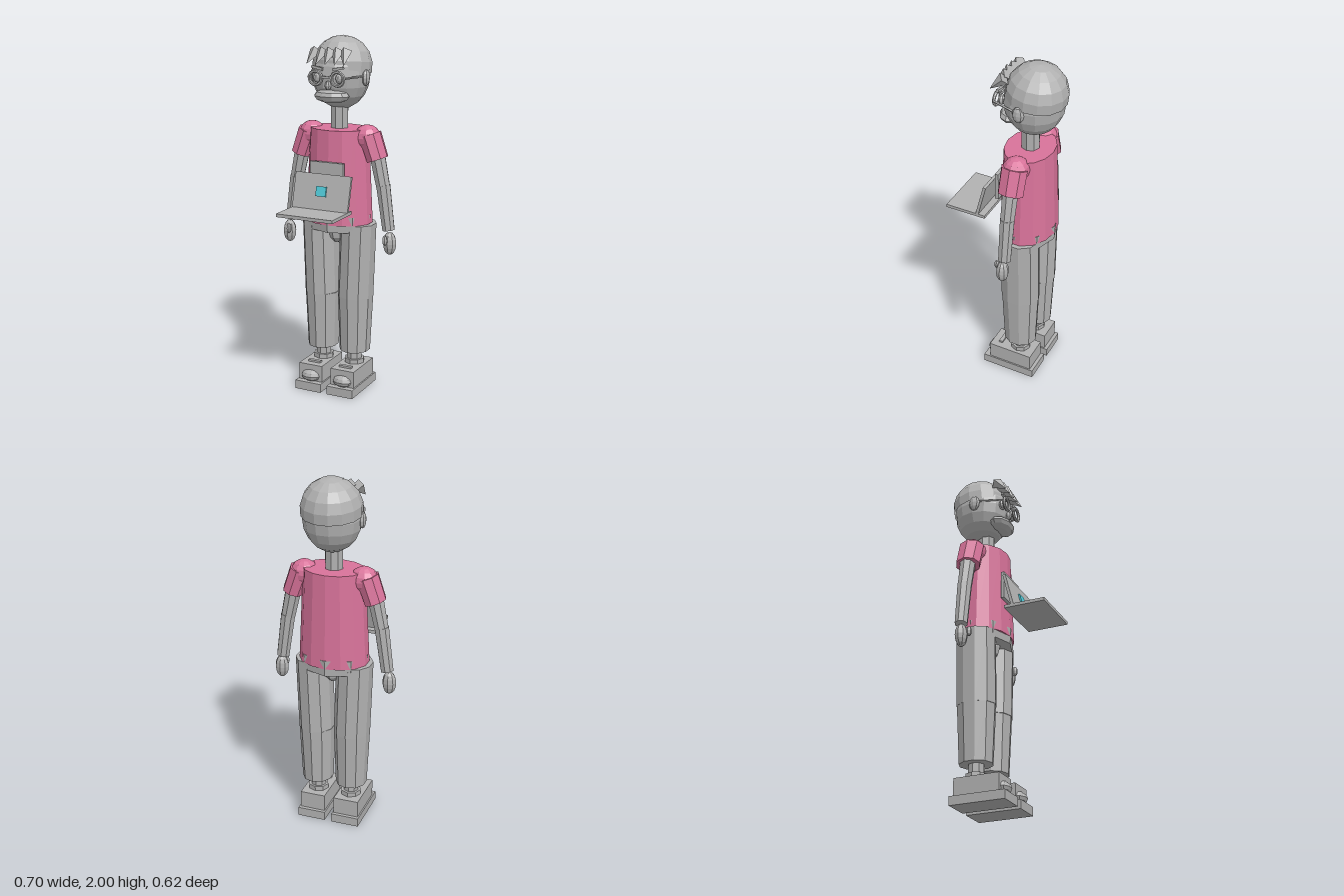
import * as THREE from 'three';

const mat = (name, color) => {
  const m = new THREE.MeshStandardMaterial({ color, flatShading: true, side: THREE.DoubleSide });
  m.name = name;
  return m;
};

export function createModel() {
  const grey = mat('grey', 0xb1b1b1);
  const pink = mat('shirt pink', 0xd8739a);
  const cyan = mat('screen cyan', 0x50c8d6);
  const model = new THREE.Group();
  model.name = 'figure';
  const Z = -0.115; // body axis

  const add = (name, geo, material, x, y, z, parent = model) => {
    const m = new THREE.Mesh(geo, material);
    m.name = name;
    m.position.set(x, y, z);
    parent.add(m);
    return m;
  };
  const box = (name, material, w, h, d, x, y, z) =>
    add(name, new THREE.BoxGeometry(w, h, d), material, x, y, z);
  const ball = (name, material, rx, ry, rz, x, y, z, seg = 10, rings = 8) =>
    add(name, new THREE.SphereGeometry(1, seg, rings).scale(rx, ry, rz), material, x, y, z);
  // Tapered tube from a (radius ra) to b (radius rb), stretched in depth by sz
  const limb = (name, material, a, b, ra, rb, sides = 8, sz = 1) => {
    const A = new THREE.Vector3(...a), B = new THREE.Vector3(...b);
    const dir = A.clone().sub(B);
    const geo = new THREE.CylinderGeometry(ra, rb, dir.length(), sides).scale(1, 1, sz);
    const mid = A.add(B).multiplyScalar(0.5);
    const m = add(name, geo, material, mid.x, mid.y, mid.z);
    m.quaternion.setFromUnitVectors(new THREE.Vector3(0, 1, 0), dir.normalize());
    return m;
  };

  // Torso
  add('shirt', new THREE.CylinderGeometry(0.17, 0.195, 0.525, 14).scale(1, 1, 0.78), pink, 0, 1.2375, Z);
  add('pelvis', new THREE.CylinderGeometry(0.192, 0.185, 0.09, 8).scale(1, 1, 0.81), grey, 0, 0.978, Z);
  ball('crotch', grey, 0.05, 0.08, 0.09, 0, 0.925, Z, 8, 6);
  box('chestPatch', grey, 0.2, 0.16, 0.02, 0, 1.25, 0.035);
  limb('neck', grey, [0, 1.65, Z], [0, 1.48, Z], 0.05, 0.05);

  // Head and hair cap
  ball('head', grey, 0.158, 0.187, 0.163, 0, 1.787, -0.135, 14, 10);
  const cap = add('hairCap', new THREE.SphereGeometry(0.165, 14, 5, 0, Math.PI * 2, 0, Math.PI * 0.56),
    grey, 0, 1.835, -0.148);
  cap.rotation.x = -0.1;

  // Fringe of spikes pointing forward and down
  for (let i = -2; i <= 2; i++) {
    limb('fringeSpike', grey, [i * 0.045, 1.925, 0.0 - Math.abs(i) * 0.004],
      [i * 0.055, 1.86, 0.062], 0.036, 0.001, 4);
  }

  // Face
  ball('moustache', grey, 0.105, 0.04, 0.07, 0, 1.685, -0.02, 10, 6);
  ball('nose', grey, 0.018, 0.025, 0.022, 0, 1.745, 0.026, 8, 6);
  box('glassesBridge', grey, 0.05, 0.012, 0.012, 0, 1.79, 0.045);

  for (const s of [1, -1]) {
    ball('ear', grey, 0.02, 0.045, 0.033, s * 0.156, 1.78, -0.118, 8, 6);
    ball('eye', grey, 0.026, 0.028, 0.02, s * 0.066, 1.785, 0.018, 8, 6);
    add('glassesRim', new THREE.TorusGeometry(0.037, 0.009, 6, 16), grey, s * 0.066, 1.785, 0.045);
    limb('glassesArm', grey, [s * 0.11, 1.79, 0.045], [s * 0.157, 1.79, -0.1], 0.006, 0.006, 4);
    const brow = box('eyebrow', grey, 0.065, 0.014, 0.015, s * 0.063, 1.838, 0.03);
    brow.rotation.z = s * 0.2;

    // Arm
    ball('shoulder', pink, 0.077, 0.07, 0.072, s * 0.168, 1.457, Z, 10, 8);
    limb('sleeve', pink, [s * 0.185, 1.475, Z], [s * 0.232, 1.34, Z], 0.062, 0.06, 8, 1.2);
    limb('upperArm', grey, [s * 0.222, 1.4, Z], [s * 0.267, 1.19, Z], 0.046, 0.04);
    limb('forearm', grey, [s * 0.267, 1.2, Z], [s * 0.302, 0.95, Z], 0.041, 0.036);
    ball('hand', grey, 0.039, 0.065, 0.034, s * 0.313, 0.877, -0.108, 8, 8);
    ball('thumb', grey, 0.014, 0.029, 0.017, s * 0.299, 0.9, -0.07, 6, 6);

    // Leg
    limb('thigh', grey, [s * 0.118, 0.975, Z], [s * 0.103, 0.55, Z], 0.1, 0.1, 10, 1.12);
    limb('shin', grey, [s * 0.103, 0.55, Z], [s * 0.1, 0.225, Z], 0.1, 0.087, 10, 1.08);
    limb('ankle', grey, [s * 0.098, 0.26, Z], [s * 0.098, 0.13, Z], 0.044, 0.044);
    limb('sockCuff', grey, [s * 0.098, 0.172, Z], [s * 0.098, 0.145, Z], 0.058, 0.058, 8);

    // Shoe
    box('shoeSole', grey, 0.16, 0.05, 0.315, s * 0.1, 0.025, -0.0725);
    box('shoeUpper', grey, 0.144, 0.1, 0.26, s * 0.1, 0.096, -0.08);
    ball('toeCap', grey, 0.062, 0.037, 0.05, s * 0.1, 0.08, 0.035, 10, 6);
    box('shoeLace', grey, 0.075, 0.012, 0.022, s * 0.098, 0.151, -0.002);
  }

  // Open laptop held in front of the chest
  box('laptopBase', grey, 0.336, 0.018, 0.235, 0, 1.075, 0.1925);
  const lid = new THREE.Group();
  lid.name = 'laptopLid';
  lid.position.set(0, 1.07, 0.125);
  lid.rotation.x = -0.25;
  model.add(lid);
  add('lidPanel', new THREE.BoxGeometry(0.336, 0.208, 0.016), grey, 0, 0.104, 0, lid);
  add('lidLight', new THREE.BoxGeometry(0.06, 0.055, 0.009), cyan, 0, 0.112, 0.0125, lid);

  return model;
}
